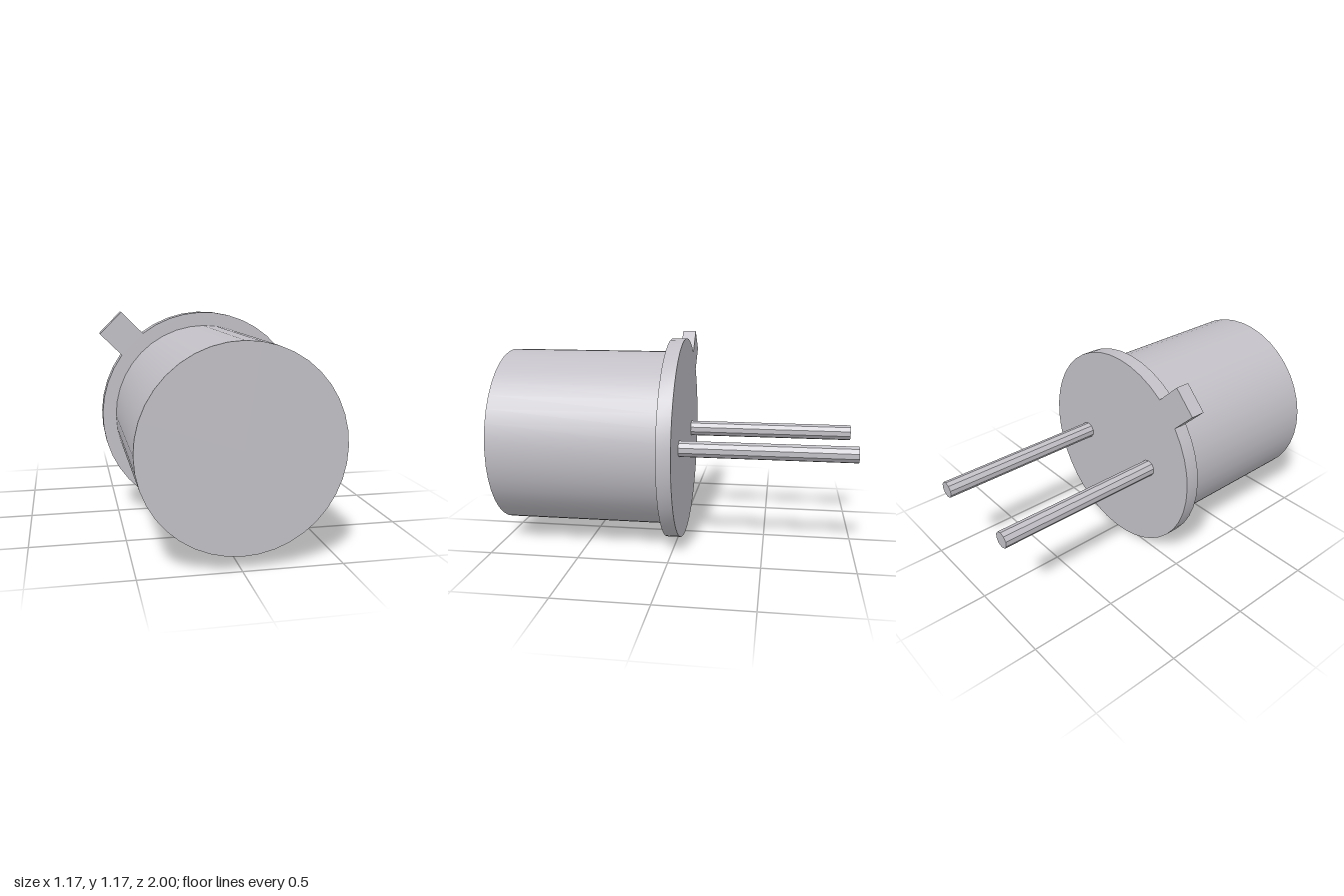
import * as THREE from 'three';
import { toCreasedNormals } from 'three/addons/utils/BufferGeometryUtils.js';

const CY = 0.583; // height of the main axis

export function createModel() {
  const group = new THREE.Group();
  const metal = new THREE.MeshStandardMaterial({ color: 0xc2c0c6 });

  const add = (name, geometry) => {
    const mesh = new THREE.Mesh(geometry, metal);
    mesh.name = name;
    group.add(mesh);
    return mesh;
  };

  // Cylinder lying along z between two depths
  const rod = (name, radius, sides, x, z0, z1, flat) => {
    let g = new THREE.CylinderGeometry(radius, radius, z1 - z0, sides);
    if (flat) g = toCreasedNormals(g, 0.3);
    g.rotateX(Math.PI / 2);
    return add(name, g).position.set(x, CY, (z0 + z1) / 2);
  };

  // Can body
  rod('canBody', 0.505, 40, 0, 0.05, 1, false);

  // Base flange: a disc with a square tab at the upper left of the front
  const R = 0.58, half = 0.085, reach = 0.743;
  const spread = Math.asin(half / R), mid = Math.PI * 0.75;
  const outline = [];
  const steps = 40;
  for (let i = 0; i <= steps; i++) {
    const a = mid + spread + (i / steps) * (2 * Math.PI - 2 * spread);
    outline.push(new THREE.Vector2(R * Math.cos(a), R * Math.sin(a)));
  }
  const d = new THREE.Vector2(Math.cos(mid), Math.sin(mid));
  for (const s of [-1, 1]) {
    outline.push(new THREE.Vector2(d.x * reach - d.y * half * s, d.y * reach + d.x * half * s));
  }
  const flange = new THREE.ExtrudeGeometry(new THREE.Shape(outline), { depth: 0.08, bevelEnabled: false });
  add('flangeWithTab', toCreasedNormals(flange, 0.5)).position.set(0, CY, -0.03);

  // Two lead pins at the back
  rod('leftPin', 0.046, 10, 0.272, -1, -0.03, true);
  rod('rightPin', 0.046, 10, -0.272, -1, -0.03, true);

  return group;
}
